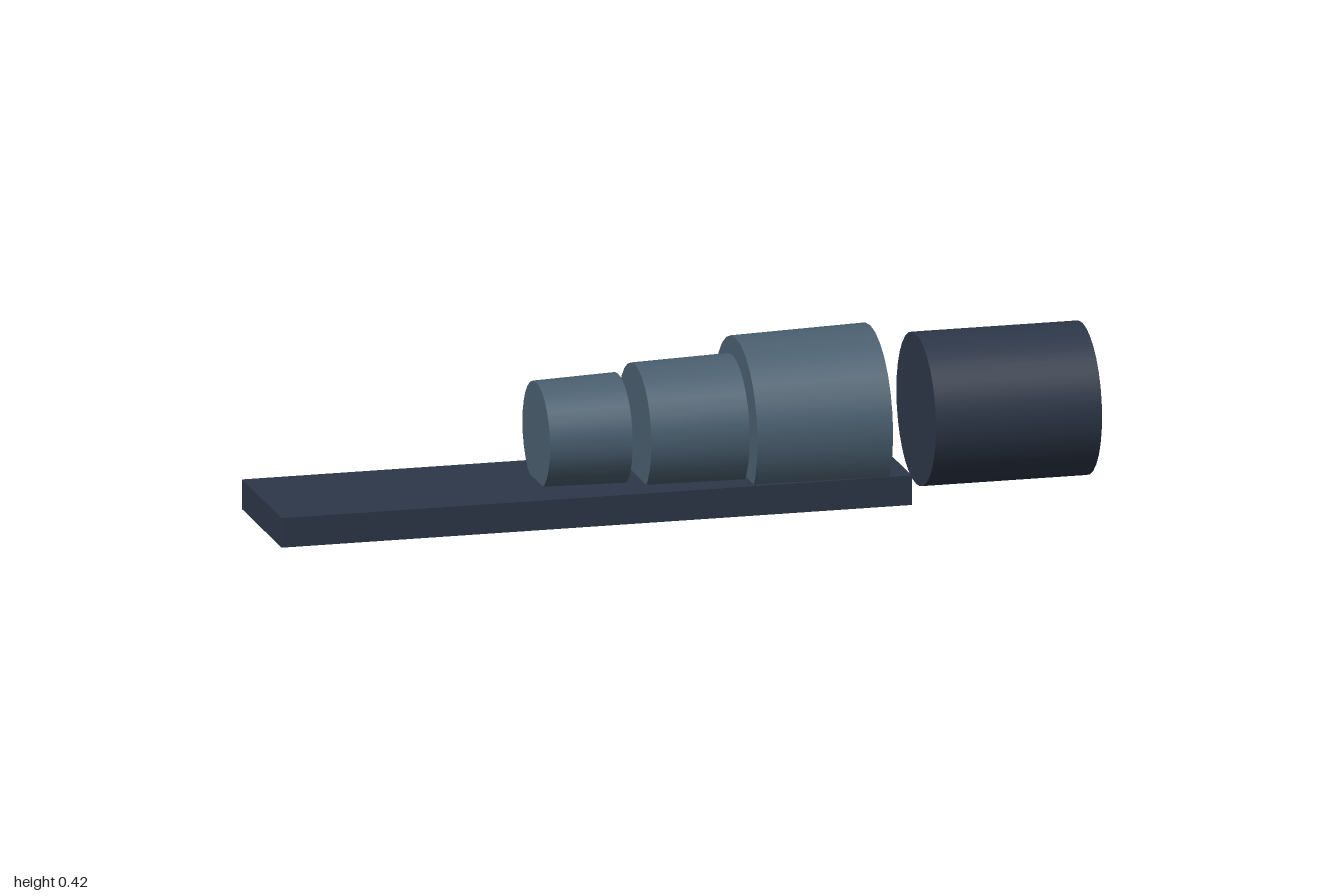
import * as THREE from 'three';

const AXIS_Y = 0.213; // height of the shared shaft axis

export function createModel() {
  const group = new THREE.Group();
  const dark = new THREE.MeshStandardMaterial({ color: 0x2d3748 });
  const steel = new THREE.MeshStandardMaterial({ color: 0x4a5f70 });

  // Drum lying along x, from x0 (radius r0) to x1 (radius r1)
  function drum(name, x0, x1, r0, r1, sides, material) {
    const geometry = new THREE.CylinderGeometry(r1, r0, x1 - x0, sides);
    geometry.rotateZ(-Math.PI / 2);
    const mesh = new THREE.Mesh(geometry, material);
    mesh.name = name;
    mesh.position.set((x0 + x1) / 2, AXIS_Y, 0);
    group.add(mesh);
  }

  // Flat base plate
  const base = new THREE.Mesh(new THREE.BoxGeometry(1.536, 0.072, 0.367), dark);
  base.name = 'basePlate';
  base.position.set(-0.232, 0.066, 0);
  group.add(base);

  // Three slightly tapered stages, then the motor
  drum('smallStage', -0.331, -0.131, 0.128, 0.135, 28, steel);
  drum('middleStage', -0.091, 0.147, 0.155, 0.162, 28, steel);
  drum('largeStage', 0.155, 0.483, 0.203, 0.212, 28, steel);
  drum('motor', 0.595, 1, 0.183, 0.183, 32, dark);

  return group;
}
